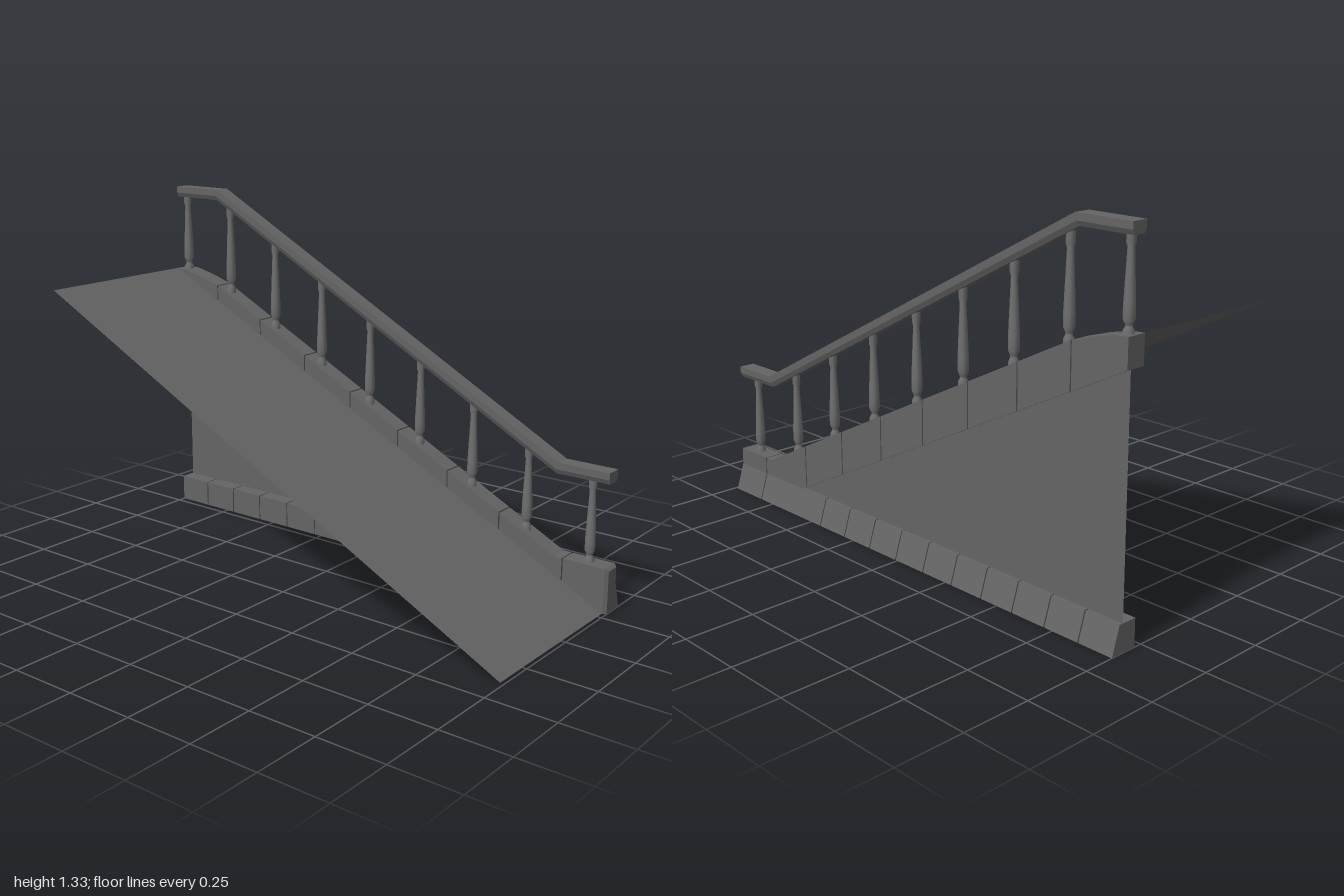
import * as THREE from 'three';

const IN = -0.28, OUT = -0.353, FLARE = -0.385, MID = -0.317;

// Joins cross-sections [x, [[z, y], ...]] running along +x into a closed flat-faced solid.
// A cross-section point may carry its own x as a third number.
function loft(sections) {
  const rings = sections.map(([x, pts]) => pts.map(([z, y, px]) => [px ?? x, y, z]));
  const pos = [];
  const tri = (a, b, c) => pos.push(...a, ...b, ...c);
  const n = rings[0].length;
  for (let s = 0; s < rings.length - 1; s++) {
    const p = rings[s], q = rings[s + 1];
    for (let i = 0; i < n; i++) {
      const j = (i + 1) % n;
      tri(p[i], p[j], q[j]);
      tri(p[i], q[j], q[i]);
    }
  }
  const first = rings[0], last = rings[rings.length - 1];
  for (let i = 1; i < n - 1; i++) {
    tri(first[0], first[i + 1], first[i]);
    tri(last[0], last[i], last[i + 1]);
  }
  const g = new THREE.BufferGeometry();
  g.setAttribute('position', new THREE.Float32BufferAttribute(pos, 3));
  g.computeVertexNormals();
  return g;
}

// Height of the curb top, and of its underside, at x
const TOP = [[-1, 1], [-0.95, 0.997], [-0.87, 0.978], [-0.78, 0.95], [0.79, 0.165], [1, 0.165]];
function topY(x) {
  for (let i = 1; i < TOP.length; i++) {
    const [x0, y0] = TOP[i - 1], [x1, y1] = TOP[i];
    if (x <= x1) return y0 + (y1 - y0) * (x - x0) / (x1 - x0);
  }
  return 0.165;
}
const underY = (x) => 0.9 - (x + 1) * 0.8 / 1.59;

const curbSection = (x) => [x, [[IN, underY(x)], [OUT, underY(x)], [OUT, topY(x)], [IN, topY(x)]]];
const baseSection = (x) => [x, [[IN, 0], [FLARE, 0], [OUT, 0.1], [IN, 0.1]]];
const footSection = (x, inset = 0) => [x, [[IN - inset, 0], [FLARE + inset, 0], [OUT + inset, 0.1],
  [OUT + inset, 0.165 - inset + topY(x) - 0.165], [IN - inset, topY(x) - inset]]];

export function createModel() {
  const root = new THREE.Group();
  const stone = new THREE.MeshStandardMaterial({ color: 0x646464 });
  const sheet = new THREE.MeshStandardMaterial({ color: 0x646464, side: THREE.DoubleSide });
  stone.name = 'grey stone';
  sheet.name = 'grey stone sheet';
  const balusterStone = new THREE.MeshStandardMaterial({ color: 0x707070 });
  balusterStone.name = 'light grey stone';
  const add = (name, geometry, material = stone, parent = root) => {
    const m = new THREE.Mesh(geometry, material);
    m.name = name;
    parent.add(m);
    return m;
  };
  const group = (name) => {
    const g = new THREE.Group();
    g.name = name;
    root.add(g);
    return g;
  };

  // Sloping ramp sheet
  const ramp = new THREE.PlaneGeometry(1, 1);
  const rp = ramp.attributes.position;
  for (let i = 0; i < rp.count; i++) {
    const u = rp.getX(i) + 0.5, v = rp.getY(i) + 0.5;
    rp.setXYZ(i, -1 + 1.985 * u, 1 - u, 0.385 - 0.675 * v);
  }
  ramp.computeVertexNormals();
  add('ramp', ramp, sheet);

  // Triangular side wall, tucked into the curb and base course
  const wall = new THREE.Shape([[-1, 0.03], [0.7, 0.03], [0.7, 0.1], [-1, 0.95]]
    .map(([x, y]) => new THREE.Vector2(x, y)));
  add('sideWall', new THREE.ShapeGeometry(wall).translate(0, 0, -0.338), sheet);

  // Curb blocks following the slope
  const gap = 0.0025;
  const curb = group('curb');
  const seams = [-1, -0.78, -0.555, -0.33, -0.107, 0.117, 0.341, 0.565];
  for (let i = 0; i < seams.length - 1; i++) {
    const a = seams[i] + (i ? gap : 0), b = seams[i + 1] - gap;
    const xs = i ? [a, b] : [a, -0.95, -0.87, b];
    add('curbBlock', loft(xs.map(curbSection)), stone, curb);
  }
  add('curbEnd', loft([0.565 + gap, 0.59].map(curbSection)), stone, curb);

  // Flared base course
  const base = group('baseCourse');
  for (let i = 0; i < 11; i++) {
    const a = i ? -1.005 + i * 0.145 + gap : -1;
    const b = i < 10 ? -1.005 + (i + 1) * 0.145 - gap : 0.59;
    add('baseBlock', loft([a, b].map(baseSection)), stone, base);
  }

  // Foot of the curb and the end block
  add('curbFoot', loft([0.59, 0.79, 0.825 - gap].map((x) => footSection(x))));
  add('endBlock', loft([footSection(0.825 + gap), footSection(0.988), footSection(1, 0.009)]));

  // Handrail, wider at the top, with mitred bends: [bottom x, bottom y, top x, top y]
  const rail = [[-1, 1.292, -1, 1.333], [-0.79, 1.292, -0.78, 1.333],
    [0.78, 0.463, 0.79, 0.505], [0.985, 0.463, 0.985, 0.505]];
  add('handrail', loft(rail.map(([bx, by, tx, ty]) => {
    const mx = bx + (tx - bx) * 0.4, my = by + (ty - by) * 0.4;
    return [bx, [[MID + 0.022, by, bx], [MID - 0.022, by, bx], [MID - 0.03, my, mx],
      [MID - 0.03, ty, tx], [MID + 0.03, ty, tx], [MID + 0.03, my, mx]]];
  })));

  // Turned balusters: [radius, height fraction]
  const profile = [[0.018, -0.05], [0.018, 0.03], [0.011, 0.07], [0.012, 0.09], [0.019, 0.14],
    [0.019, 0.27], [0.016, 0.5], [0.011, 0.86], [0.015, 0.9], [0.015, 1.03]];
  const balusters = group('balusters');
  const feet = [[-0.97, 1, 1.295], [-0.738, 0.93, 1.265], [-0.505, 0.812, 1.143], [-0.272, 0.696, 1.02],
    [-0.04, 0.58, 0.898], [0.192, 0.464, 0.776], [0.425, 0.348, 0.653], [0.657, 0.231, 0.53], [0.91, 0.165, 0.466]];
  for (const [x, y0, y1] of feet) {
    const h = y1 - y0;
    const pts = profile.map(([r, t]) => new THREE.Vector2(r, t * h));
    const m = add('baluster', new THREE.LatheGeometry(pts, 8), balusterStone, balusters);
    m.position.set(x, y0, MID);
  }
  return root;
}
